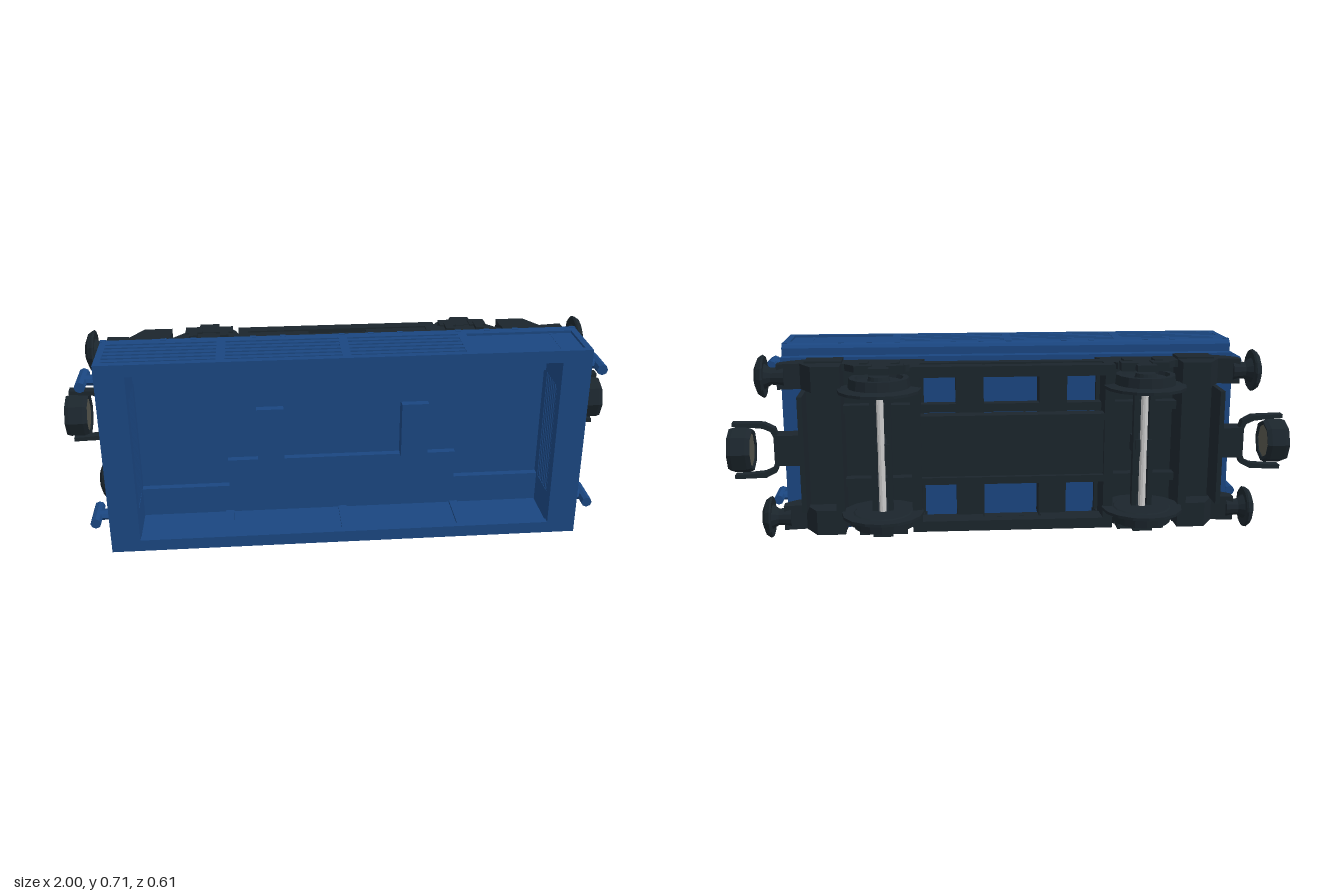
import * as THREE from 'three';

const mat = (color) => new THREE.MeshStandardMaterial({ color, flatShading: true });
const BLUE = mat(0x1a4680), DARK = mat(0x1b252c), STEEL = mat(0xcccccc), GREY = mat(0x55554c);
const V = (x, y, z) => new THREE.Vector3(x, y, z);

function add(parent, name, geometry, material) {
  const mesh = new THREE.Mesh(geometry, material);
  mesh.name = name;
  parent.add(mesh);
  return mesh;
}

// Box given by its limits on each axis
function box(parent, name, material, x0, x1, y0, y1, z0, z1) {
  const g = new THREE.BoxGeometry(x1 - x0, y1 - y0, z1 - z0);
  g.translate((x0 + x1) / 2, (y0 + y1) / 2, (z0 + z1) / 2);
  return add(parent, name, g, material);
}

function extrude(points, depth) {
  const shape = new THREE.Shape(points.map(([a, b]) => new THREE.Vector2(a, b)));
  return new THREE.ExtrudeGeometry(shape, { depth, bevelEnabled: false }).translate(0, 0, -depth / 2);
}

// Extrusion of a y-z section along x, and of an x-z section along y
const alongX = (pts, d) => extrude(pts, d).applyMatrix4(new THREE.Matrix4().makeBasis(V(0, 1, 0), V(0, 0, 1), V(1, 0, 0)));
const alongY = (pts, d) => extrude(pts, d).applyMatrix4(new THREE.Matrix4().makeBasis(V(1, 0, 0), V(0, 0, 1), V(0, -1, 0)));
const lathe = (pts, n) => new THREE.LatheGeometry(pts.map(([r, h]) => new THREE.Vector2(r, h)), n);

// One long side wall with ribbed bays (the last bay is plain)
function sideWall() {
  const g = new THREE.Group();
  g.name = 'sideWall';
  box(g, 'sidePanel', BLUE, -0.82, 0.82, 0.318, 0.344, 0.09, 0.3);
  for (const [y0, y1] of [[0.31, 0.32], [0.342, 0.3525]]) {
    box(g, 'topRail', BLUE, -0.825, 0.825, y0, y1, 0.283, 0.307);
    box(g, 'bottomRail', BLUE, -0.825, 0.825, y0, y1, 0.09, 0.12);
    for (const x of [-0.818, -0.415, 0, 0.415, 0.818])
      box(g, 'wallRib', BLUE, Math.max(x - 0.015, -0.825), Math.min(x + 0.015, 0.825), y0, y1, 0.1, 0.3);
  }
  box(g, 'wallRim', BLUE, -0.825, 0.825, 0.315, 0.35, 0.295, 0.307);
  // Slats of the three ribbed bays
  for (const x of [-0.615, -0.2075, 0.2075])
    for (let i = 0; i < 5; i++) {
      const z = 0.13 + i * 0.031;
      box(g, 'wallSlat', BLUE, x - 0.195, x + 0.195, 0.34, 0.352, z, z + 0.02);
    }
  // Fasteners along the bottom edge
  for (const i of [-8, -6, -5, -3, -2, 0, 1, 2, 4, 5, 6, 8])
    box(g, 'fastener', BLUE, i * 0.102 - 0.01, i * 0.102 + 0.01, 0.34, 0.354, 0.078, 0.094);
  return g;
}

// End wall with slatted panel and two lugs
function endWall() {
  const g = new THREE.Group();
  g.name = 'endWall';
  box(g, 'endPanel', BLUE, 0.734, 0.814, -0.32, 0.32, 0.09, 0.3);
  for (const [x0, x1] of [[0.725, 0.737], [0.812, 0.825]]) {
    box(g, 'endTopRail', BLUE, x0, x1, -0.345, 0.345, 0.265, 0.307);
    box(g, 'endBottomRail', BLUE, x0, x1, -0.345, 0.345, 0.09, 0.14);
    for (const s of [-1, 1])
      box(g, 'endPost', BLUE, x0, x1, Math.min(s * 0.207, s * 0.345), Math.max(s * 0.207, s * 0.345), 0.1, 0.3);
    for (let i = 0; i < 6; i++)
      box(g, 'endSlat', BLUE, x0 + 0.001, x1 - 0.001, -0.207, 0.207, 0.145 + i * 0.0208, 0.156 + i * 0.0208);
  }
  box(g, 'endRim', BLUE, 0.725, 0.825, -0.345, 0.345, 0.29, 0.307);
  for (const y of [-0.26, 0.26]) {
    add(g, 'lugStem', new THREE.CylinderGeometry(0.027, 0.027, 0.05, 8).rotateZ(Math.PI / 2).scale(1, 0.6, 1).translate(0.845, y, 0.2), BLUE);
    add(g, 'lugBar', new THREE.CylinderGeometry(0.0187, 0.0187, 0.125, 8).rotateX(Math.PI / 2).translate(0.879, y, 0.202), BLUE);
  }
  return g;
}

function body() {
  const g = new THREE.Group();
  g.name = 'openBody';
  const half = [[0.31, 0.018], [0.31, 0.06], [0.337, 0.06], [0.348, 0.068], [0.3525, 0.082], [0.3525, 0.1]];
  add(g, 'floor', alongX([...half, ...half.map(([y, z]) => [-y, z]).reverse()], 1.65), BLUE);
  for (const s of [0, 1]) {
    for (const wall of [sideWall(), endWall()]) {
      wall.rotation.z = s * Math.PI;
      g.add(wall);
    }
    // Raised ledges, wider at mid length, and floor blocks
    const ledges = new THREE.Group();
    ledges.name = 'floorLedges';
    ledges.rotation.z = s * Math.PI;
    box(ledges, 'ledge', BLUE, -0.73, 0.73, 0.2075, 0.315, 0.09, 0.125);
    box(ledges, 'wideLedge', BLUE, -0.413, 0.413, 0.104, 0.21, 0.09, 0.125);
    box(ledges, 'floorBlock', BLUE, 0.21, 0.306, -0.103, 0.103, 0.09, 0.15);
    g.add(ledges);
  }
  return g;
}

// Axle with two flanged wheels, guards, springs and brake gear
function wheelset(x) {
  const g = new THREE.Group();
  g.name = 'wheelset';
  g.position.set(x, 0, -0.16);
  add(g, 'axle', new THREE.CylinderGeometry(0.013, 0.013, 0.54, 10), STEEL);
  box(g, 'axleCradle', DARK, -0.03, 0.03, -0.03, 0.03, -0.005, 0.1);
  for (const k of [-0.028, 0.028]) box(g, 'brakeBeam', DARK, k - 0.009, k + 0.009, -0.215, 0.215, 0.0, 0.03);
  box(g, 'wheelBayPlate', DARK, -0.15, 0.15, -0.3, 0.3, 0.155, 0.177);
  const profile = [[0, 0.215], [0.1, 0.215], [0.105, 0.218], [0.145, 0.218], [0.145, 0.228], [0.108, 0.234],
    [0.104, 0.268], [0.085, 0.268], [0.08, 0.255], [0.04, 0.255], [0.035, 0.272], [0, 0.272]];
  const guard = [[-0.155, 0.175], [-0.125, 0.09], [-0.09, 0.05], [0.09, 0.05], [0.125, 0.09], [0.155, 0.175]];
  for (const s of [0, 1]) {
    const side = new THREE.Group();
    side.name = 'wheelSide';
    add(side, 'wheel', lathe(profile, 16), DARK).rotation.x = s * Math.PI;
    const d = s ? -1 : 1;
    add(side, 'axleGuard', alongY(guard, 0.024).translate(0, d * 0.288, 0), DARK);
    add(side, 'axleBox', new THREE.BoxGeometry(0.07, 0.022, 0.085).translate(0, d * 0.291, 0.012), DARK);
    // Spring blocks with hangers
    for (const k of [-0.055, 0.055]) {
      add(side, 'springBlock', new THREE.BoxGeometry(0.06, 0.03, 0.055).translate(k, d * 0.291, 0.035), DARK);
      add(side, 'springHanger', new THREE.BoxGeometry(0.03, 0.014, 0.06).translate(k, d * 0.303, 0.075), DARK);
    }
    g.add(side);
  }
  return g;
}

// Buffers, coupling and end beam of one end
function endGear() {
  const g = new THREE.Group();
  g.name = 'endGear';
  box(g, 'endBeam', DARK, 0.6, 0.73, -0.31, 0.31, -0.07, 0.018);
  box(g, 'endPlate', DARK, 0.728, 0.745, -0.207, 0.207, -0.19, -0.03);
  const bracket = [[0.6, 0.018], [0.6, -0.15], [0.7, -0.15], [0.745, -0.075], [0.825, -0.085], [0.825, -0.045], [0.785, -0.01], [0.73, 0.018]];
  for (const y of [-0.259, 0.259]) {
    add(g, 'bufferBracket', alongY(bracket.slice().reverse(), 0.09).translate(0, y, 0), DARK);
    const buffer = [[0, 0.8], [0.035, 0.8], [0.03, 0.845], [0.045, 0.868], [0.072, 0.866], [0.077, 0.872], [0.065, 0.889], [0.035, 0.901], [0, 0.905]];
    add(g, 'buffer', lathe(buffer, 12).rotateZ(-Math.PI / 2).translate(0, y, -0.065), DARK);
  }
  // Coupling yoke and octagonal drum
  const outer = [[0.985, 0.102], [0.875, 0.099], [0.838, 0.08], [0.825, 0.045]];
  const inner = [[0.842, 0.045], [0.853, 0.068], [0.88, 0.08], [0.92, 0.084], [0.985, 0.088]];
  const flip = (pts) => pts.map(([x, y]) => [x, -y]).reverse();
  add(g, 'couplingYoke', extrude([...outer, ...flip(outer), ...flip(inner), ...inner], 0.035).translate(0, 0, -0.09), DARK);
  box(g, 'couplingMount', DARK, 0.73, 0.842, -0.055, 0.055, -0.115, -0.04);
  const drum = [[0.062, 0.922], [0.075, 0.919], [0.081, 0.935], [0.081, 0.985], [0.076, 1], [0.063, 1], [0.062, 0.922]];
  const turn = (geo) => geo.rotateZ(-Math.PI / 2).translate(0, 0, -0.088);
  add(g, 'couplingDrum', turn(lathe(drum, 8)), DARK);
  add(g, 'couplingCore', turn(new THREE.CylinderGeometry(0.064, 0.064, 0.07, 8).translate(0, 0.961, 0)), GREY);
  return g;
}

function chassis() {
  const g = new THREE.Group();
  g.name = 'chassis';
  box(g, 'centreTray', DARK, -0.34, 0.34, -0.11, 0.11, -0.135, -0.11);
  for (const x of [-0.15, 0.15]) {
    box(g, 'crossBeam', DARK, x - 0.05, x + 0.05, -0.28, 0.28, -0.07, 0.02);
    box(g, 'trayPost', DARK, x - 0.05, x + 0.05, -0.1, 0.1, -0.12, -0.03);
  }
  for (const s of [0, 1]) {
    const half = new THREE.Group();
    half.name = 'chassisHalf';
    half.rotation.z = s * Math.PI;
    box(half, 'lowerSideBar', DARK, -0.34, 0.34, 0.262, 0.3, -0.152, -0.11);
    box(half, 'upperSideBar', DARK, -0.62, 0.62, 0.275, 0.3, -0.07, -0.03);
    box(half, 'trayEdge', DARK, -0.35, 0.35, 0.1, 0.125, -0.152, -0.1);
    box(half, 'innerSill', DARK, -0.62, 0.62, 0.12, 0.15, -0.07, -0.03);
    for (const x of [-0.22, 0.22])
      box(half, 'sideBarPost', DARK, x - 0.115, x + 0.115, 0.265, 0.295, -0.115, -0.065);
    // Cross members on both sides of the axle
    box(half, 'axleCrossMember', DARK, 0.325, 0.36, -0.3, 0.3, -0.152, -0.03);
    box(half, 'outerCrossMember', DARK, 0.6, 0.63, -0.23, 0.23, -0.15, 0.015);
    half.add(endGear());
    g.add(half);
  }
  for (const x of [-0.465, 0.465]) g.add(wheelset(x));
  return g;
}

export function createModel() {
  const model = new THREE.Group();
  model.name = 'openWagon';
  const wagon = new THREE.Group();
  wagon.name = 'wagon';
  wagon.position.y = 0.354;
  wagon.add(body(), chassis());
  model.add(wagon);
  return model;
}
